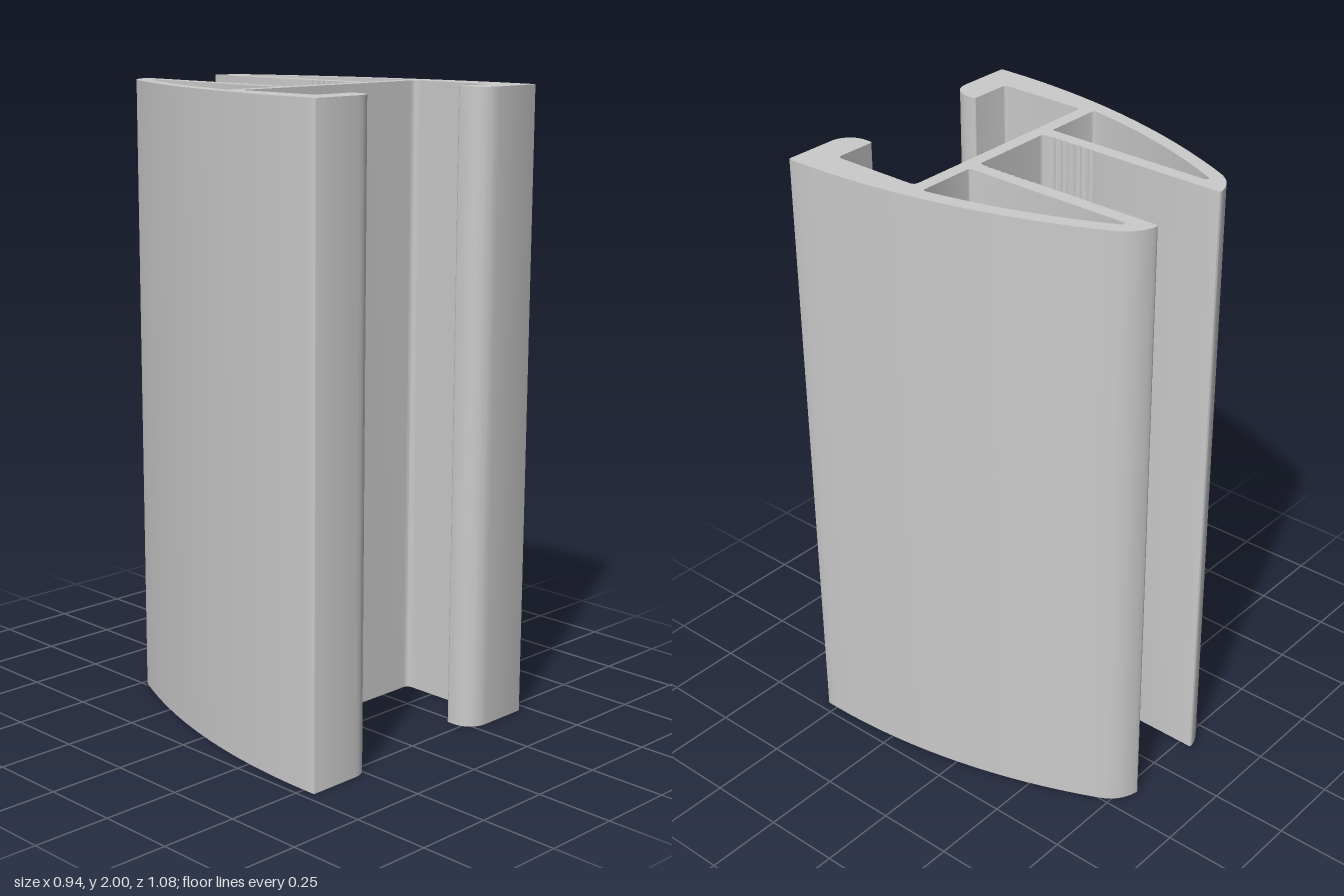
import * as THREE from 'three';
import { toCreasedNormals } from 'three/addons/utils/BufferGeometryUtils.js';

const LENGTH = 2;
const mirror = (pts) => pts.map((p) => new THREE.Vector2(-p.x, p.y)).reverse();

// Right half of the outline, drawn in x and z
function outlineHalf() {
  const p = new THREE.Path();
  p.moveTo(0, 0.141);
  // front slot with its hooked lip
  p.lineTo(0.349, 0.141);
  p.quadraticCurveTo(0.368, 0.141, 0.368, 0.161);
  p.lineTo(0.368, 0.425);
  p.quadraticCurveTo(0.368, 0.442, 0.351, 0.442);
  p.lineTo(0.235, 0.442);
  p.quadraticCurveTo(0.225, 0.442, 0.225, 0.452);
  p.lineTo(0.225, 0.472);
  p.absarc(0.295, 0.472, 0.07, Math.PI, Math.PI / 2, true);
  p.lineTo(0.46, 0.542);
  p.quadraticCurveTo(0.468, 0.542, 0.468, 0.534);
  // bowed outer wall and rounded tip
  p.absarc(0.468 - 2.23, 0.5, 2.23, 0, -0.449, true);
  p.quadraticCurveTo(0.217, -0.528, 0.15, -0.542);
  p.quadraticCurveTo(0.141, -0.542, 0.141, -0.534);
  // channel wall with fine grip grooves
  p.lineTo(0.141, -0.1);
  for (let i = 0; i < 7; i++) {
    const z = -0.1 + i * 0.025;
    p.quadraticCurveTo(0.147, z + 0.01, 0.141, z + 0.02);
    p.lineTo(0.141, z + 0.025);
  }
  p.lineTo(0.141, 0.082);
  p.quadraticCurveTo(0.141, 0.098, 0.125, 0.098);
  p.lineTo(0, 0.098);
  return p.getPoints(10);
}

// Hollow chamber between the channel wall and the outer wall, wound against the outline
function chamber() {
  const p = new THREE.Path();
  p.moveTo(0.193, 0.098);
  p.quadraticCurveTo(0.185, 0.098, 0.185, 0.09);
  p.lineTo(0.185, -0.454);
  p.quadraticCurveTo(0.185, -0.464, 0.193, -0.464);
  p.quadraticCurveTo(0.199, -0.464, 0.204, -0.454);
  p.quadraticCurveTo(0.33, -0.2, 0.379, 0.082);
  p.quadraticCurveTo(0.382, 0.097, 0.371, 0.098);
  return p.getPoints(14);
}

export function createModel() {
  const aluminium = new THREE.MeshStandardMaterial({ color: 0xcacaca });
  aluminium.name = 'aluminium grey';

  const half = outlineHalf();
  const shape = new THREE.Shape([...half, ...mirror(half).slice(1, -1)]);
  const hole = chamber();
  shape.holes.push(new THREE.Path(hole), new THREE.Path(mirror(hole)));

  // Extrude and stand the length upright
  const geometry = new THREE.ExtrudeGeometry(shape, { depth: LENGTH, bevelEnabled: false });
  geometry.rotateX(Math.PI / 2);
  geometry.translate(0, LENGTH, 0);

  const profile = new THREE.Mesh(toCreasedNormals(geometry, 0.5), aluminium);
  profile.name = 'extrudedProfile';
  const group = new THREE.Group();
  group.name = 'channelExtrusion';
  group.add(profile);
  return group;
}
